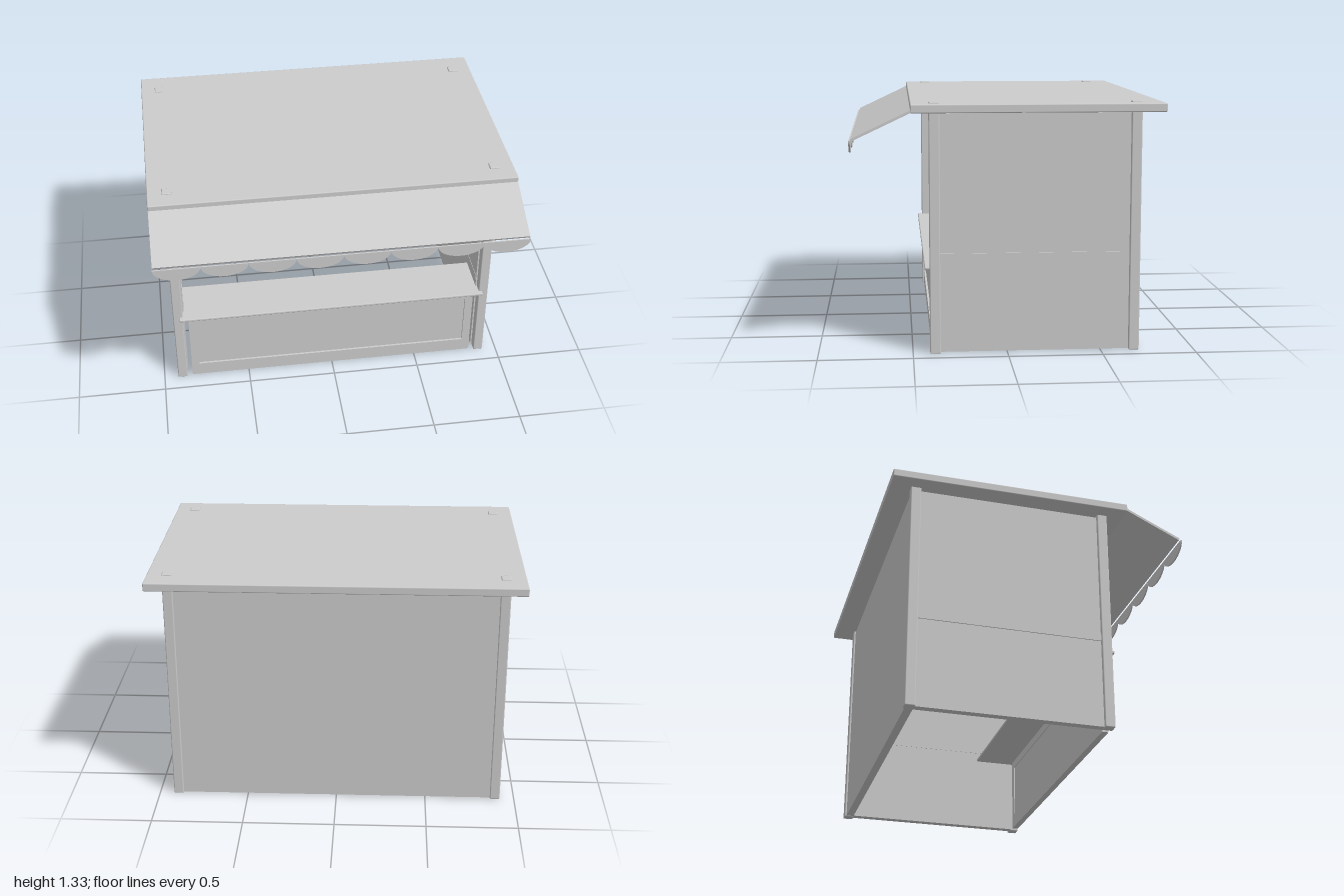
import * as THREE from 'three';
import { RoundedBoxGeometry } from 'three/addons/geometries/RoundedBoxGeometry.js';

export function createModel() {
  const model = new THREE.Group();
  model.name = 'marketStall';
  const grey = new THREE.MeshStandardMaterial({ color: 0xcccccc });
  grey.name = 'light grey';

  const add = (name, geometry) => {
    const mesh = new THREE.Mesh(geometry, grey);
    mesh.name = name;
    model.add(mesh);
    return mesh;
  };
  // Boxes are given by their limits on each axis; r rounds the edges.
  const box = (name, [x0, x1], [y0, y1], [z0, z1], r = 0) => {
    const size = [x1 - x0, y1 - y0, z1 - z0];
    const geometry = r ? new RoundedBoxGeometry(...size, 2, r) : new THREE.BoxGeometry(...size);
    const mesh = add(name, geometry);
    mesh.position.set((x0 + x1) / 2, (y0 + y1) / 2, (z0 + z1) / 2);
    return mesh;
  };
  const mirrored = (s, a, b) => (s > 0 ? [a, b] : [-b, -a]);

  // Roof slab, with the corner posts passing through it
  box('roof', [-1, 1], [1.28, 1.325], [-0.82, 0.505], 0.006);
  for (const s of [1, -1]) {
    for (const z of [0.382, -0.678]) {
      box('cornerPost', mirrored(s, 0.865, 0.92), [0, 1.332], [z - 0.028, z + 0.028], 0.006);
    }
    // Side walls with a middle rail
    const side = s > 0 ? 'left' : 'right';
    box(side + 'Wall', mirrored(s, 0.857, 0.9), [0.005, 1.272], [-0.66, 0.36]);
    box(side + 'WallRail', mirrored(s, 0.855, 0.906), [0.5, 0.535], [-0.65, 0.355]);
  }
  box('backWall', [-0.868, 0.868], [0.005, 1.275], [-0.695, -0.66]);
  box('backWallLedge', [-0.857, 0.857], [0.005, 0.505], [-0.66, -0.652]);

  // Front panel: a frame around a recessed board
  const frame = new THREE.Shape([[-0.835, 0.005], [0.835, 0.005], [0.835, 0.445], [-0.835, 0.445]]
    .map(([x, y]) => new THREE.Vector2(x, y)));
  frame.holes.push(new THREE.Path([[-0.79, 0.085], [-0.79, 0.4], [0.79, 0.4], [0.79, 0.085]]
    .map(([x, y]) => new THREE.Vector2(x, y))));
  add('frontPanelFrame', new THREE.ExtrudeGeometry(frame, { depth: 0.035, bevelEnabled: false }))
    .position.z = 0.365;
  box('frontPanelBoard', [-0.8, 0.8], [0.07, 0.41], [0.37, 0.388]);

  // Serving counter
  box('counter', [-0.885, 0.885], [0.445, 0.462], [0.135, 0.436], 0.006);

  // Shelves on the back wall, each carried by three triangular brackets
  const bracket = new THREE.Shape([[0, 0], [0, -0.08], [0.13, 0]].map(([x, y]) => new THREE.Vector2(x, y)));
  const bracketGeometry = new THREE.ExtrudeGeometry(bracket, { depth: 0.014, bevelEnabled: false });
  bracketGeometry.rotateY(-Math.PI / 2).translate(0.007, 0, 0);
  for (const y of [0.715, 0.98]) {
    box('shelf', [-0.81, 0.81], [y, y + 0.016], [-0.66, -0.49], 0.005);
    for (const x of [-0.665, 0, 0.665]) add('shelfBracket', bracketGeometry).position.set(x, y, -0.66);
  }

  // Sloping awning
  const top = new THREE.Vector2(0.498, 1.292), low = new THREE.Vector2(0.805, 1.147);
  const awning = add('awning', new THREE.BoxGeometry(1.996, 0.013, top.distanceTo(low)));
  awning.position.set(0, (top.y + low.y) / 2, (top.x + low.x) / 2);
  awning.rotation.x = Math.atan2(top.y - low.y, low.x - top.x);

  // Scalloped valance hanging from the awning
  const scallop = new THREE.Shape();
  scallop.absellipse(0, 0, 0.125, 0.072, Math.PI, Math.PI * 2, false);
  scallop.closePath();
  const scallopGeometry = new THREE.ExtrudeGeometry(scallop, { depth: 0.008, bevelEnabled: false, curveSegments: 20 });
  for (let i = 0; i < 8; i++) {
    add('valanceScallop', scallopGeometry).position.set(-0.875 + i * 0.25, 1.143, 0.812);
  }
  return model;
}
